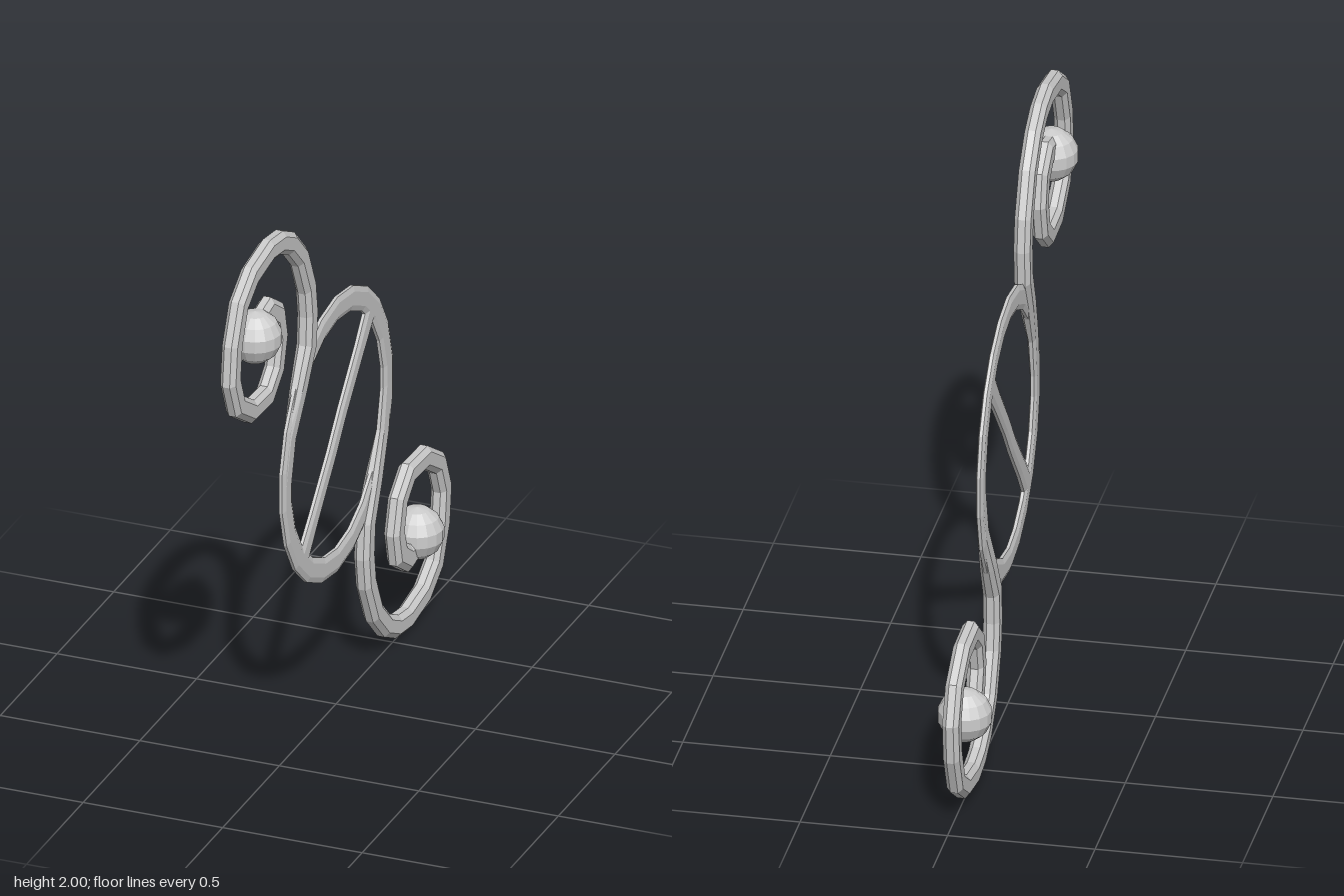
import * as THREE from 'three';

const material = new THREE.MeshStandardMaterial({ color: 0xcccccc, flatShading: true });

// Chamfered bar section as [thickness, width] factors, counter-clockwise
const SECTION = [[1, -0.55], [1, 0.55], [0.45, 1], [-0.45, 1], [-1, 0.55], [-1, -0.55], [-0.45, -1], [0.45, -1]];

// Sweeps the section along rows of [z, y, half width, half thickness]
function sweep(rows, closed = false) {
  const n = rows.length, m = SECTION.length;
  const positions = [], index = [];
  rows.forEach(([z, y, w, h], i) => {
    const before = rows[closed ? (i + n - 1) % n : Math.max(i - 1, 0)];
    const after = rows[closed ? (i + 1) % n : Math.min(i + 1, n - 1)];
    const t = new THREE.Vector2(after[0] - before[0], after[1] - before[1]).normalize();
    for (const [b, a] of SECTION) positions.push(b * h, y + t.x * w * a, z - t.y * w * a);
  });
  for (let i = 0; i < (closed ? n : n - 1); i++) {
    for (let j = 0; j < m; j++) {
      const k = (j + 1) % m, r = i * m, s = ((i + 1) % n) * m;
      index.push(r + j, r + k, s + k, r + j, s + k, s + j);
    }
  }
  if (!closed) {
    const e = (n - 1) * m;
    for (let j = 1; j < m - 1; j++) index.push(0, j + 1, j, e, e + j, e + j + 1);
  }
  const indexed = new THREE.BufferGeometry();
  indexed.setAttribute('position', new THREE.Float32BufferAttribute(positions, 3));
  indexed.setIndex(index);
  const geometry = indexed.toNonIndexed();
  geometry.computeVertexNormals();
  return geometry;
}

function addMesh(parent, name, geometry) {
  const mesh = new THREE.Mesh(geometry, material);
  mesh.name = name;
  parent.add(mesh);
  return mesh;
}

// Scroll centreline [z, y], from the ring to the curled tip
const SCROLL = [
  [0.445, 1.01], [0.41, 1.17], [0.33, 1.32], [0.26, 1.45], [0.25, 1.565], [0.265, 1.67],
  [0.33, 1.81], [0.42, 1.9], [0.51, 1.945], [0.61, 1.96], [0.76, 1.935], [0.86, 1.87],
  [0.915, 1.745], [0.93, 1.62], [0.885, 1.51], [0.765, 1.435], [0.625, 1.43],
  [0.545, 1.495], [0.515, 1.6], [0.54, 1.69], [0.615, 1.74], [0.7, 1.72],
];

export function createModel() {
  const model = new THREE.Group();
  model.name = 'scrollOrnament';
  model.position.y = 1;

  // Thin central ring
  const ring = [];
  for (let i = 0; i < 22; i++) {
    const a = (i / 22) * Math.PI * 2;
    ring.push([0.45 * Math.sin(a), 0.465 * Math.cos(a), 0.043, 0.0125]);
  }
  addMesh(model, 'centralRing', sweep(ring, true));

  // Diagonal bar across the ring, a little wider at its ends
  addMesh(model, 'diagonalBar', sweep([
    [0.3, -0.33, 0.047, 0.0125], [0.2, -0.22, 0.038, 0.0125], [0.05, -0.06, 0.036, 0.0125],
    [-0.05, 0.06, 0.036, 0.0125], [-0.2, 0.22, 0.038, 0.0125], [-0.3, 0.33, 0.047, 0.0125],
  ]));

  // Two scrolls, half a turn apart, each curling round a ball
  const thickness = [0.0125, 0.015, 0.024];
  const scrollGeometry = sweep(SCROLL.map(([z, y], i) =>
    [z, y - 1, i > 18 ? 0.048 : 0.04, thickness[i] ?? 0.028]));
  const ballGeometry = new THREE.SphereGeometry(0.093, 16, 7);
  for (const [name, turn] of [['upperFrontScroll', 0], ['lowerBackScroll', Math.PI]]) {
    const scroll = new THREE.Group();
    scroll.name = name;
    scroll.rotation.x = turn;
    addMesh(scroll, 'scrollStrand', scrollGeometry);
    addMesh(scroll, 'ball', ballGeometry).position.set(0, 0.69, 0.715);
    model.add(scroll);
  }

  const root = new THREE.Group();
  root.name = 'ornament';
  root.add(model);
  return root;
}
